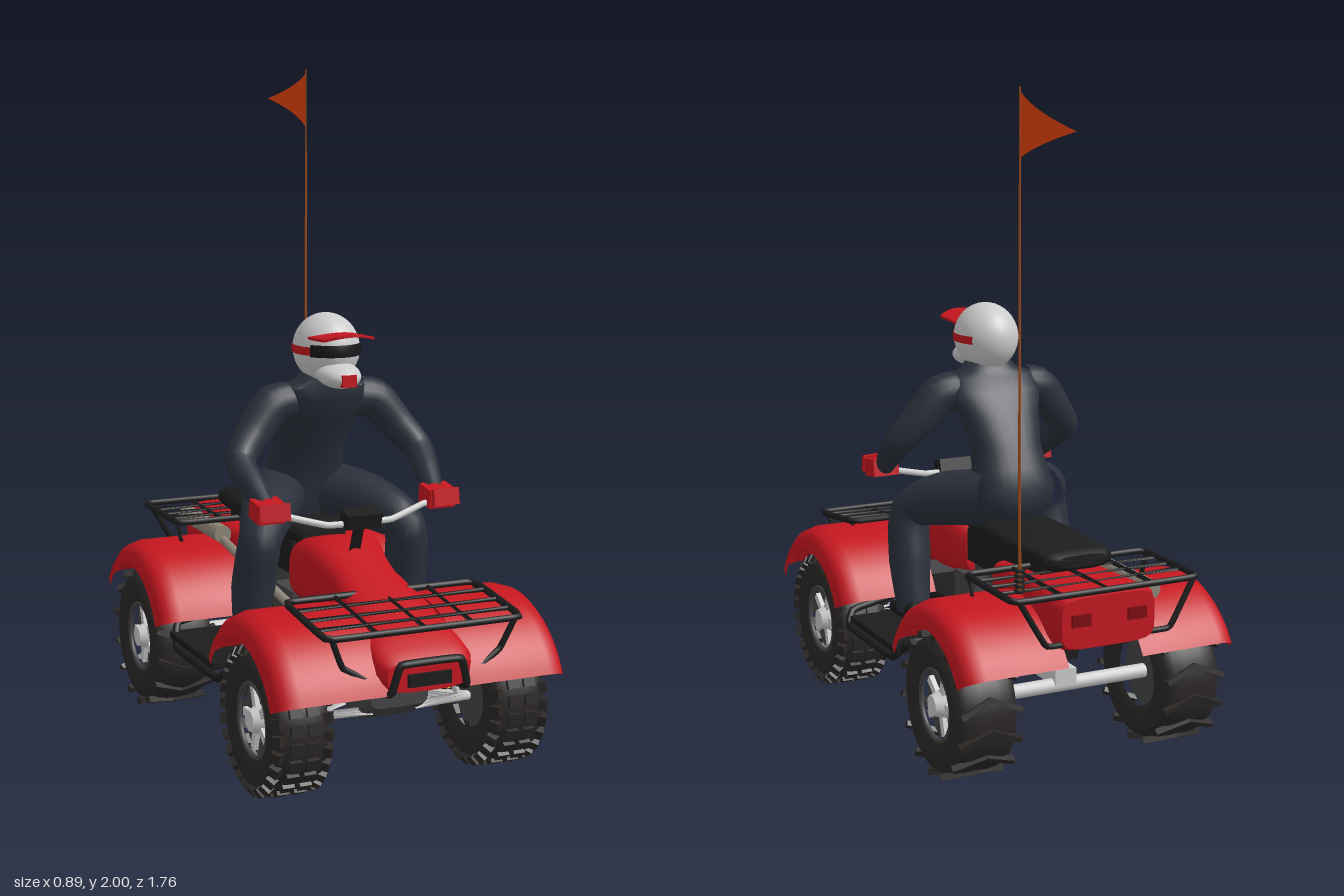
import * as THREE from 'three';
import { mergeGeometries, toCreasedNormals } from 'three/addons/utils/BufferGeometryUtils.js';

const mat = (color, side = THREE.FrontSide) => new THREE.MeshStandardMaterial({ color, side });
const RED = mat(0xc4161f, THREE.DoubleSide), BLACK = mat(0x1c1c1c), SUIT = mat(0x2a303a), GREY = mat(0xcccccc);
const TYRE = mat(0x2b2826), DARK = mat(0x444446), YELLOW = mat(0xd9b92a), PIPE = mat(0x8f8778), LAMP = mat(0x7a0c10);
const ORANGE = mat(0xe2430f, THREE.DoubleSide), POLE = mat(0x9a4a1c);
const V = (p) => new THREE.Vector3(...p);

function add(parent, name, geo, material, pos = [0, 0, 0], rot = [0, 0, 0]) {
  const m = new THREE.Mesh(geo, material);
  m.name = name;
  m.position.set(...pos);
  m.rotation.set(...rot);
  parent.add(m);
  return m;
}
const box = (x, y, z) => new THREE.BoxGeometry(x, y, z);

// Bent round bar through a few points
function bar(pts, r, closed = false) {
  const c = new THREE.CatmullRomCurve3(pts.map(V), closed, 'catmullrom', 0.12);
  return new THREE.TubeGeometry(c, pts.length > 2 ? pts.length * 8 : 1, r, 8, closed);
}

// Limb whose radius changes along its path; points are [x, y, z, radius]
function limb(pts) {
  const c = new THREE.CatmullRomCurve3(pts.map((p) => V(p.slice(0, 3))), false, 'catmullrom', 0.4);
  const n = 24, sides = 16, g = new THREE.TubeGeometry(c, n, 1, sides), pos = g.attributes.position, v = new THREE.Vector3();
  for (let i = 0; i <= n; i++) {
    const p = c.getPointAt(i / n), f = (c.getUtoTmapping(i / n)) * (pts.length - 1);
    const k = Math.min(Math.floor(f), pts.length - 2);
    const r = THREE.MathUtils.lerp(pts[k][3], pts[k + 1][3], f - k);
    for (let j = 0; j <= sides; j++) {
      const id = i * (sides + 1) + j;
      v.fromBufferAttribute(pos, id).sub(p).multiplyScalar(r).add(p);
      pos.setXYZ(id, v.x, v.y, v.z);
    }
  }
  return g;
}

// Capped loft of rounded sections along z: [z, centreY, halfWidth, halfHeight]
function loft(secs, e = 0.6, n = 28) {
  const p = [], idx = [], pow = (a) => Math.sign(a) * Math.abs(a) ** e;
  for (const [z, y, rx, ry] of secs)
    for (let j = 0; j < n; j++) {
      const a = (j / n) * Math.PI * 2;
      p.push(pow(Math.cos(a)) * rx, y + pow(Math.sin(a)) * ry, z);
    }
  const last = secs.length - 1, c0 = p.length / 3;
  p.push(0, secs[0][1], secs[0][0], 0, secs[last][1], secs[last][0]);
  for (let j = 0; j < n; j++) {
    const k = (j + 1) % n;
    for (let i = 0; i < last; i++) {
      const a = i * n + j, b = i * n + k;
      idx.push(a, b, a + n, b, b + n, a + n);
    }
    idx.push(c0, k, j, c0 + 1, last * n + j, last * n + k);
  }
  const g = new THREE.BufferGeometry();
  g.setAttribute('position', new THREE.Float32BufferAttribute(p, 3));
  g.setIndex(idx);
  return toCreasedNormals(g, 0.8);
}

// Arched mudguard with a rolled outer lip
function fender(cz, t0, t1) {
  const prof = [[0.12, 0], [0.2, 0.005], [0.38, 0.005], [0.42, -0.008], [0.438, -0.03], [0.445, -0.065]];
  const n = 28, g = new THREE.PlaneGeometry(1, 1, prof.length - 1, n), pos = g.attributes.position;
  for (let i = 0; i <= n; i++)
    prof.forEach(([x, d], j) => {
      const t = THREE.MathUtils.lerp(t0, t1, i / n);
      pos.setXYZ(i * prof.length + j, x, 0.22 + Math.sin(t) * (0.302 + d), cz + Math.cos(t) * (0.31 + d));
    });
  g.computeVertexNormals();
  return g;
}

// Coil-over shock between two points
function shock(parent, a, b) {
  const A = V(a), B = V(b), dir = B.clone().sub(A), len = dir.length();
  const pts = Array.from({ length: 61 }, (_, i) => new THREE.Vector3(Math.cos(i * 0.63) * 0.02, (i / 60 - 0.5) * len * 0.8, Math.sin(i * 0.63) * 0.02));
  const g = new THREE.Group();
  g.name = 'shock';
  add(g, 'spring', new THREE.TubeGeometry(new THREE.CatmullRomCurve3(pts), 120, 0.005, 5), YELLOW);
  add(g, 'damper', new THREE.CylinderGeometry(0.01, 0.01, len, 10), GREY);
  g.position.copy(A).add(B).multiplyScalar(0.5);
  g.quaternion.setFromUnitVectors(new THREE.Vector3(0, 1, 0), dir.normalize());
  parent.add(g);
}

// Wheel built on the y axis, outer face at +y, then turned to +x
function wheel(parent, name, z, w, front) {
  const g = new THREE.Group();
  g.name = name;
  const half = [[0.105, 0.8], [0.125, 0.95], [0.165, 1], [0.192, 0.9], [0.203, 0.65], [0.207, 0.3]];
  const prof = [...half.map(([r, y]) => [r, -y]), ...half.slice().reverse()].map(([r, y]) => new THREE.Vector2(r, y * w));
  add(g, 'tyre', new THREE.LatheGeometry(prof, 48), TYRE);
  const knobs = [], n = front ? 26 : 14;
  for (let i = 0; i < n; i++)
    for (const row of front ? [-0.84, -0.3, 0.3, 0.84] : [-0.48, 0.48]) {
      const outer = Math.abs(row) > 0.5;
      const k = front ? box(0.03, w * 0.42, 0.03) : box(0.02, w * 1.1, 0.016);
      if (front && outer) k.rotateZ(-Math.sign(row) * 0.6);
      if (!front) k.rotateX(Math.sign(row) * 0.4);
      k.translate(outer ? 0.192 : front ? 0.202 : 0.207, row * w, 0);
      k.rotateY(((i + (front && outer ? 0.5 : 0)) / n) * Math.PI * 2);
      knobs.push(k);
    }
  add(g, 'tread', mergeGeometries(knobs), TYRE);
  add(g, 'rim', new THREE.CylinderGeometry(0.11, 0.11, w * 1.1, 32), DARK);
  add(g, 'rimLip', new THREE.TorusGeometry(0.105, 0.008, 8, 36), DARK, [0, w * 0.8, 0], [Math.PI / 2, 0, 0]);
  add(g, 'hub', new THREE.CylinderGeometry(0.03, 0.048, w * 0.5, 24), GREY, [0, w * 0.7, 0]);
  for (let i = 0; i < 5; i++) {
    const spoke = box(0.06, 0.02, 0.024);
    spoke.translate(0.065, w * 0.6, 0);
    spoke.rotateY((i / 5) * Math.PI * 2 + 0.3);
    add(g, 'spoke', spoke, GREY);
  }
  g.position.set(0.335, 0.222, z);
  g.rotation.z = -Math.PI / 2;
  parent.add(g);
}

// Luggage rack: rounded frame with cross and lengthwise bars
function rack(parent, name, zs, yOf) {
  const a = zs[0], b = zs[zs.length - 1], P = (x, z) => [x, yOf(z), z], c = Math.sign(b - a) * 0.025;
  const parts = [bar([P(-0.275, a), P(0.275, a), P(0.298, a + c), P(0.298, b - c), P(0.275, b), P(-0.275, b), P(-0.298, b - c), P(-0.298, a + c)], 0.01, true)];
  for (const z of zs.slice(1, -1)) parts.push(bar([P(-0.298, z), P(0.298, z)], 0.007));
  for (const x of [-0.146, 0, 0.146]) parts.push(bar([P(x, a), P(x, b)], 0.007));
  add(parent, name, mergeGeometries(parts), BLACK);
}

function createModel() {
  const root = new THREE.Group();

  // Bodywork and seat
  add(root, 'rearBody', loft([[-0.625, 0.5, 0.15, 0.075], [-0.6, 0.5, 0.16, 0.085], [-0.35, 0.5, 0.145, 0.08], [-0.14, 0.51, 0.13, 0.055], [-0.11, 0.52, 0.11, 0.035]], 0.4), RED);
  add(root, 'tankAndHood', loft([[0.13, 0.52, 0.09, 0.075], [0.17, 0.53, 0.12, 0.095], [0.3, 0.54, 0.13, 0.115], [0.38, 0.525, 0.11, 0.1], [0.46, 0.5, 0.105, 0.095], [0.6, 0.46, 0.13, 0.085], [0.75, 0.425, 0.145, 0.06], [0.83, 0.395, 0.145, 0.06], [0.86, 0.385, 0.125, 0.045]]), RED);
  add(root, 'seat', loft([[-0.465, 0.632, 0.08, 0.018], [-0.44, 0.632, 0.11, 0.032], [-0.2, 0.627, 0.125, 0.036], [0, 0.625, 0.12, 0.036], [0.1, 0.628, 0.1, 0.036], [0.16, 0.62, 0.07, 0.025]]), BLACK);
  add(root, 'seatBase', box(0.18, 0.1, 0.5), BLACK, [0, 0.55, -0.13]);

  // Chassis, engine and drivetrain
  add(root, 'chassis', box(0.2, 0.08, 0.78), BLACK, [0, 0.3, 0.13]);
  add(root, 'engine', box(0.22, 0.16, 0.15), DARK, [0, 0.38, 0.1]);
  add(root, 'engineTop', box(0.12, 0.12, 0.24), DARK, [0, 0.47, 0.05]);
  add(root, 'skidPlate', loft([[0.45, 0.27, 0.09, 0.06], [0.6, 0.26, 0.11, 0.07], [0.68, 0.29, 0.09, 0.05]], 0.35), DARK);
  add(root, 'swingArm', box(0.07, 0.05, 0.34), GREY, [0, 0.25, -0.2]);
  add(root, 'rearAxle', new THREE.CylinderGeometry(0.022, 0.022, 0.56, 14), GREY, [0, 0.222, -0.345], [0, 0, Math.PI / 2]);
  shock(root, [0, 0.46, -0.14], [0, 0.28, -0.25]);
  add(root, 'exhaustPipe', bar([[-0.1, 0.42, 0.32], [-0.15, 0.445, 0.24], [-0.165, 0.5, -0.05], [-0.17, 0.54, -0.27]], 0.014), PIPE);
  add(root, 'muffler', new THREE.CylinderGeometry(0.028, 0.028, 0.33, 18), PIPE, [-0.17, 0.552, -0.41], [Math.PI / 2, 0, 0]);

  // Racks and bumper
  rack(root, 'frontRack', [0.84, 0.77, 0.7, 0.625, 0.555], (z) => 0.51 + (0.84 - z) * 0.12);
  rack(root, 'rearRack', [-0.62, -0.525, -0.455, -0.385, -0.305], () => 0.588);
  add(root, 'frontBumper', bar([[-0.12, 0.33, 0.8], [-0.115, 0.345, 0.865], [-0.09, 0.425, 0.873], [0.09, 0.425, 0.873], [0.115, 0.345, 0.865], [0.12, 0.33, 0.8]], 0.011), BLACK);
  add(root, 'bumperPlate', box(0.13, 0.035, 0.02), BLACK, [0, 0.375, 0.862]);

  // Steering
  add(root, 'steeringColumn', bar([[0, 0.58, 0.36], [0, 0.73, 0.415]], 0.018), BLACK);
  add(root, 'handlebar', bar([[-0.31, 0.755, 0.37], [-0.22, 0.745, 0.38], [-0.1, 0.715, 0.41], [0.1, 0.715, 0.41], [0.22, 0.745, 0.38], [0.31, 0.755, 0.37]], 0.01), GREY);
  add(root, 'instrumentPod', box(0.11, 0.045, 0.05), BLACK, [0, 0.73, 0.42], [0.3, 0, 0]);

  // Parts mirrored left and right
  for (const s of [1, -1]) {
    const side = new THREE.Group();
    side.name = s > 0 ? 'leftSide' : 'rightSide';
    side.scale.x = s;
    root.add(side);
    wheel(side, 'frontWheel', 0.578, 0.085, true);
    wheel(side, 'rearWheel', -0.345, 0.097, false);
    add(side, 'frontFender', fender(0.575, 0.4, Math.PI - 0.45), RED);
    add(side, 'rearFender', fender(-0.345, 0.4, Math.PI - 0.52), RED);
    add(side, 'footboard', box(0.33, 0.02, 0.37), BLACK, [0.25, 0.3, 0.115]);
    add(side, 'nerfBar', bar([[0.2, 0.33, 0.4], [0.38, 0.31, 0.36], [0.41, 0.27, 0.32], [0.41, 0.27, -0.02], [0.38, 0.33, -0.09], [0.15, 0.36, -0.12]], 0.012), BLACK);
    for (const z of [0.52, 0.65]) {
      add(side, 'lowerArm', bar([[0.07, 0.23, z], [0.27, 0.21, 0.58]], 0.014), GREY);
      add(side, 'upperArm', bar([[0.07, 0.31, z], [0.27, 0.27, 0.58]], 0.01), DARK);
    }
    shock(side, [0.15, 0.43, 0.6], [0.225, 0.23, 0.6]);
    add(side, 'frontRackLeg', bar([[0.28, 0.51, 0.835], [0.24, 0.42, 0.82], [0.12, 0.35, 0.84]], 0.009), BLACK);
    add(side, 'rearRackLeg', bar([[0.28, 0.585, -0.62], [0.2, 0.45, -0.625], [0.1, 0.44, -0.6]], 0.009), BLACK);
    add(side, 'rackPost', bar([[0.298, 0.588, -0.32], [0.28, 0.51, -0.32]], 0.009), BLACK);
    add(side, 'rackPost', bar([[0.298, 0.54, 0.57], [0.28, 0.5, 0.57]], 0.009), BLACK);
    add(side, 'tailLight', box(0.06, 0.035, 0.012), LAMP, [0.09, 0.51, -0.627]);

    // Rider limbs
    add(side, 'leg', limb([[0.07, 0.73, -0.02, 0.09], [0.165, 0.705, 0.12, 0.084], [0.235, 0.65, 0.225, 0.064], [0.25, 0.5, 0.205, 0.066], [0.25, 0.34, 0.18, 0.05]]), SUIT);
    add(side, 'boot', loft([[0.1, 0.335, 0.035, 0.025], [0.12, 0.345, 0.043, 0.035], [0.2, 0.345, 0.043, 0.035], [0.28, 0.33, 0.04, 0.02], [0.3, 0.325, 0.025, 0.012]]), BLACK, [0.25, 0, 0]);
    add(side, 'arm', limb([[0.11, 1.04, 0.145, 0.06], [0.17, 1.025, 0.15, 0.062], [0.235, 0.95, 0.165, 0.054], [0.288, 0.88, 0.2, 0.046], [0.28, 0.82, 0.285, 0.038], [0.27, 0.775, 0.345, 0.03]]), SUIT);
    add(side, 'glove', box(0.085, 0.055, 0.075), RED, [0.272, 0.765, 0.37], [0.15, 0, 0]);
    add(side, 'handGuard', box(0.09, 0.05, 0.012), RED, [0.272, 0.77, 0.425], [-0.15, 0.15, 0]);
  }

  // Rider torso: sections stacked upward, [height, -z, halfWidth, halfDepth]
  add(root, 'torso', loft([[0.66, 0.01, 0.1, 0.06], [0.7, 0.015, 0.125, 0.08], [0.76, 0.015, 0.132, 0.086], [0.82, -0.01, 0.117, 0.085], [0.88, -0.035, 0.11, 0.082], [0.97, -0.085, 0.13, 0.086], [1.04, -0.125, 0.155, 0.08], [1.08, -0.145, 0.145, 0.068], [1.1, -0.155, 0.09, 0.055], [1.14, -0.165, 0.055, 0.05]], 0.85), SUIT, [0, 0, 0], [-Math.PI / 2, 0, 0]);

  // Helmet
  const helmet = new THREE.Group();
  helmet.name = 'helmet';
  helmet.position.set(0, 1.195, 0.17);
  root.add(helmet);
  const shell = (name, material, k, args) => add(helmet, name, new THREE.SphereGeometry(1, 36, 20, ...args), material).scale.set(0.097 * k, 0.105 * k, 0.115 * k);
  shell('helmetShell', GREY, 1, []);
  shell('stripe', RED, 1.025, [Math.PI / 2 - 2.2, 4.4, 1.45, 0.23]);
  shell('goggles', mat(0x17181a, THREE.DoubleSide), 1.045, [Math.PI / 2 - 0.95, 1.9, 1.38, 0.33]);
  add(helmet, 'chinGuard', new THREE.SphereGeometry(1, 24, 16), GREY, [0, -0.068, 0.085], [0.12, 0, 0]).scale.set(0.065, 0.038, 0.085);
  add(helmet, 'chinVent', box(0.045, 0.035, 0.02), RED, [0, -0.078, 0.16]);
  const peak = box(0.16, 0.008, 0.12, 1);
  const peakGeo = new THREE.BoxGeometry(0.16, 0.008, 0.12, 10, 1, 1), pp = peakGeo.attributes.position;
  peak.dispose();
  for (let i = 0; i < pp.count; i++) {
    const x = pp.getX(i);
    pp.setXYZ(i, x, pp.getY(i) - x * x * 2, pp.getZ(i) - x * x * 5);
  }
  peakGeo.computeVertexNormals();
  add(helmet, 'peak', peakGeo, RED, [0, 0.055, 0.135], [-0.05, 0, 0]);

  // Whip flag with spring base
  add(root, 'flagPole', new THREE.CylinderGeometry(0.003, 0.005, 1.4, 8), POLE, [0.265, 1.3, -0.588]);
  for (let i = 0; i < 5; i++) add(root, 'poleSpring', new THREE.TorusGeometry(0.011, 0.005, 6, 14), BLACK, [0.265, 0.61 + i * 0.015, -0.588], [Math.PI / 2, 0, 0]);
  const flag = new THREE.PlaneGeometry(1, 1, 12, 1), fp = flag.attributes.position;
  for (let i = 0; i < fp.count; i++) {
    const u = fp.getX(i) + 0.5;
    fp.setXYZ(i, 0.265 + 0.075 * u - 0.09 * u * u, 1.9 + fp.getY(i) * 0.18 * (1 - u), -0.588 - 0.292 * u);
  }
  flag.computeVertexNormals();
  add(root, 'flag', flag, ORANGE);
  return root;
}

export { createModel };
